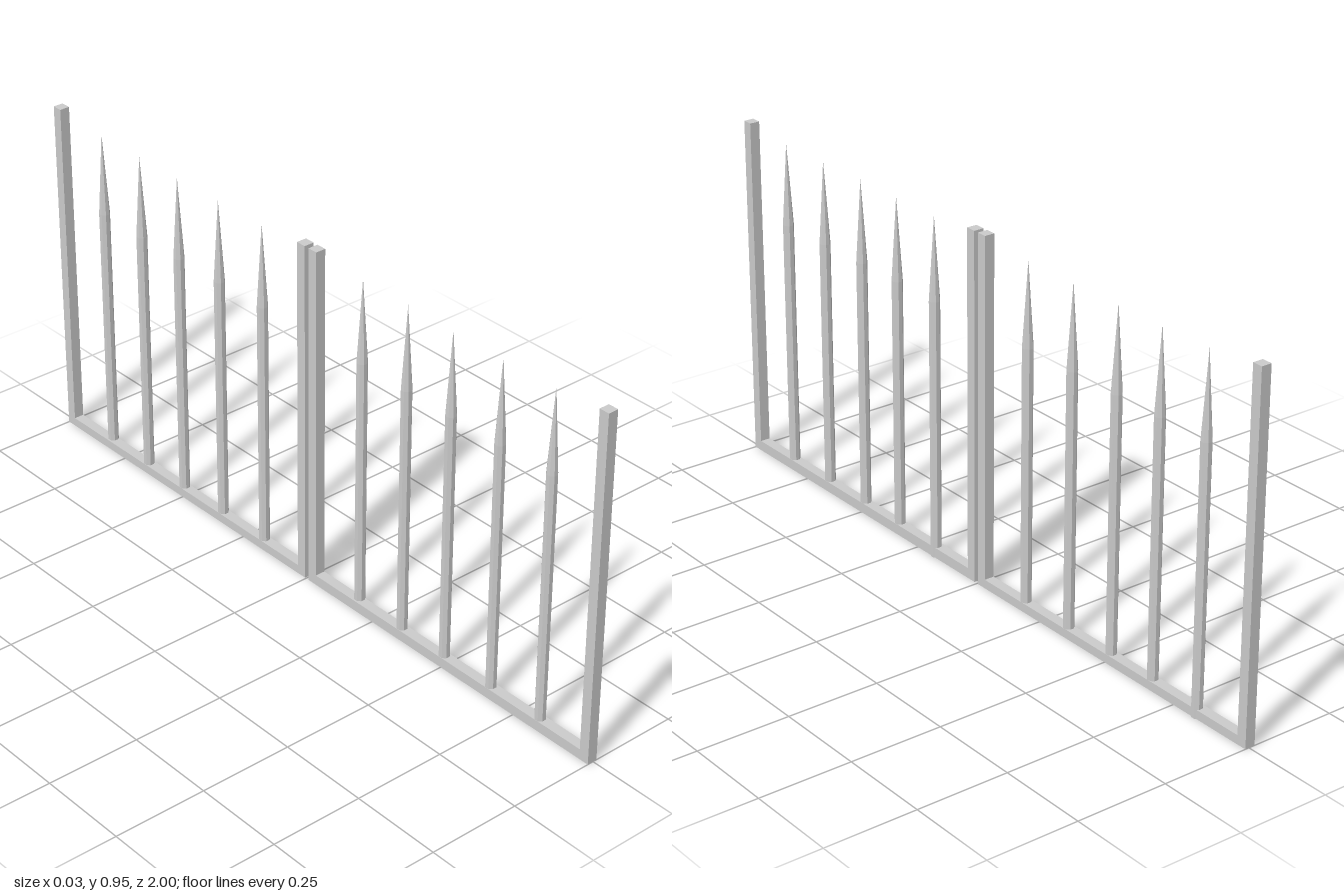
import * as THREE from 'three';

export function createModel() {
  const fence = new THREE.Group();
  fence.name = 'fence';
  const material = new THREE.MeshStandardMaterial({ color: 0xcccccc, flatShading: true });
  const xMin = -0.017, xMax = 0.011;

  const addMesh = (group, name, geometry, x, y, z) => {
    const mesh = new THREE.Mesh(geometry, material);
    mesh.name = name;
    mesh.position.set(x, y, z);
    group.add(mesh);
  };

  // Square beam spanning z0..z1 and rising from the ground
  const addBeam = (group, name, z0, z1, height) =>
    addMesh(group, name, new THREE.BoxGeometry(xMax - xMin, height, z1 - z0),
      (xMin + xMax) / 2, height / 2, (z0 + z1) / 2);

  // Eight-sided stake with a long pointed tip
  const stake = new THREE.LatheGeometry([
    new THREE.Vector2(0, 0), new THREE.Vector2(0.0145, 0),
    new THREE.Vector2(0.0145, 0.705), new THREE.Vector2(0, 0.93),
  ], 8, Math.PI / 8);

  // Two panels end to end; one stake in each stands slightly proud of the rail
  const panels = [
    { name: 'frontPanel', z0: 0.01, z1: 1, rail: 0.028, heights: [0.945, 0.945],
      stakes: [0.827, 0.66, 0.497, 0.345, 0.184], proud: 4 },
    { name: 'backPanel', z0: -1, z1: -0.004, rail: 0.024, heights: [0.95, 0.945],
      stakes: [-0.18, -0.347, -0.508, -0.66, -0.822], proud: 4 },
  ];
  const post = 0.028;
  for (const p of panels) {
    const group = new THREE.Group();
    group.name = p.name;
    addBeam(group, 'backPost', p.z0, p.z0 + post, p.heights[0]);
    addBeam(group, 'frontPost', p.z1 - post, p.z1, p.heights[1]);
    addBeam(group, 'bottomRail', p.z0 + post, p.z1 - post, p.rail);
    p.stakes.forEach((z, i) =>
      addMesh(group, 'stake', stake, i === p.proud ? 0.001 : -0.003, 0, z));
    fence.add(group);
  }
  return fence;
}
